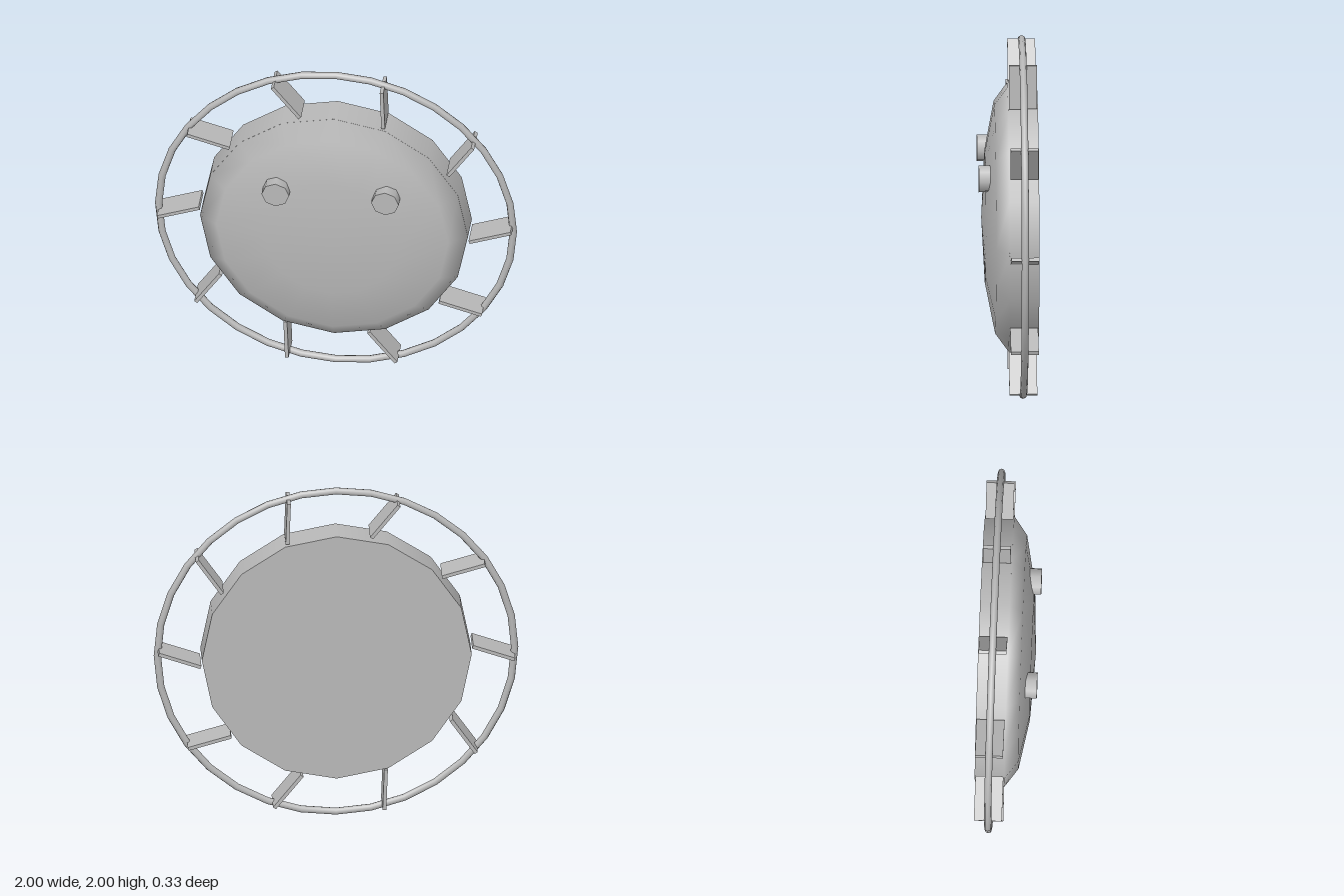
import * as THREE from 'three';

export function createModel() {
  const model = new THREE.Group();
  model.name = 'bladedDisc';
  const grey = new THREE.MeshStandardMaterial({ color: 0xb8b8b8 });
  grey.name = 'plain grey';

  const midY = 1, midZ = -0.081;
  const add = (name, geometry, x, y, z, parent = model) => {
    const mesh = new THREE.Mesh(geometry, grey);
    mesh.name = name;
    mesh.position.set(x, y, z);
    parent.add(mesh);
    return mesh;
  };

  // Thick 16-sided body
  add('body', new THREE.CylinderGeometry(0.74, 0.74, 0.163, 16).rotateX(Math.PI / 2), 0, midY, midZ);

  // Shallow domed face
  const dome = new THREE.SphereGeometry(0.74, 16, 3, 0, Math.PI * 2, 0, Math.PI / 2)
    .rotateX(Math.PI / 2)
    .scale(1, 1, 0.144 / 0.74);
  add('dome', dome, 0, midY, 0);

  // Two octagonal studs on the dome
  for (const side of [-1, 1]) {
    const stud = new THREE.CylinderGeometry(0.076, 0.076, 0.075, 8).rotateX(Math.PI / 2);
    add(side > 0 ? 'leftStud' : 'rightStud', stud, side * 0.303, 1.307, 0.1255);
  }

  // Outer hoop
  add('hoop', new THREE.TorusGeometry(0.98, 0.02, 8, 32), 0, midY, midZ);

  // Ten blades, each pitched away from the radial direction
  const blades = new THREE.Group();
  blades.name = 'blades';
  model.add(blades);
  const bladeGeometry = new THREE.BoxGeometry(0.245, 0.02, 0.153);
  for (let i = 0; i < 10; i++) {
    const a = (i / 10) * Math.PI * 2;
    const blade = add('blade', bladeGeometry, 0.861 * Math.cos(a), midY + 0.861 * Math.sin(a), midZ, blades);
    blade.rotation.z = a + 0.35;
  }

  return model;
}
